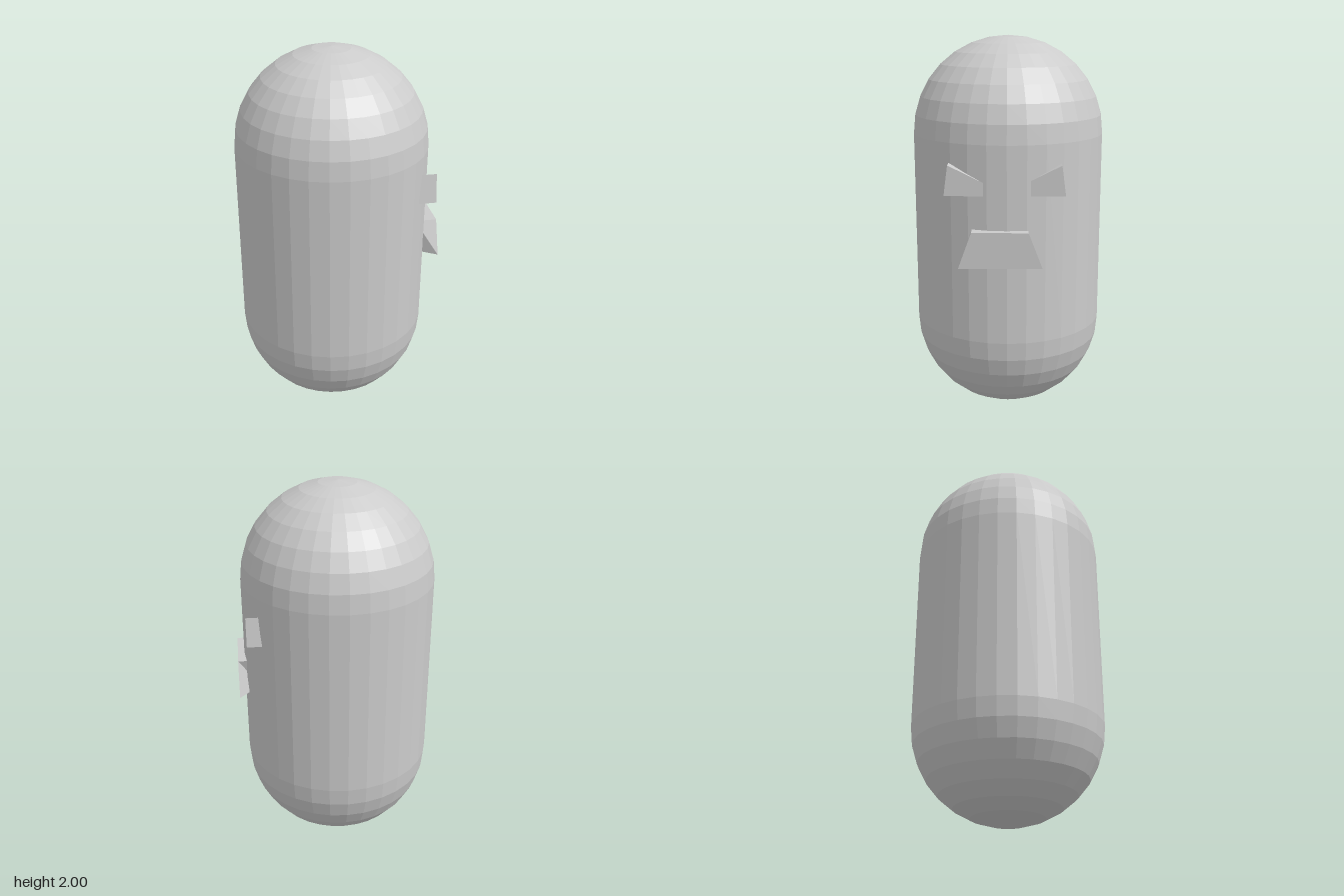
import * as THREE from 'three';

const material = new THREE.MeshStandardMaterial({ color: 0xcccccc, flatShading: true });

// Four-sided block along x. Corners are [z, y]: counterclockwise seen from +x.
function block(name, backX, frontX, front, back = front) {
  const f = front.map(([z, y]) => [frontX, y, z]);
  const b = back.map(([z, y]) => [backX, y, z]);
  const tris = [f[0], f[1], f[2], f[0], f[2], f[3], b[0], b[2], b[1], b[0], b[3], b[2]];
  for (let i = 0; i < 4; i++) {
    const j = (i + 1) % 4;
    tris.push(f[i], b[i], f[j], f[j], b[i], b[j]);
  }
  const geometry = new THREE.BufferGeometry();
  geometry.setAttribute('position', new THREE.Float32BufferAttribute(tris.flat(), 3));
  geometry.computeVertexNormals();
  const mesh = new THREE.Mesh(geometry, material);
  mesh.name = name;
  return mesh;
}

export function createModel() {
  const group = new THREE.Group();
  group.name = 'capsuleFigure';

  // Faceted capsule body
  const body = new THREE.Mesh(new THREE.CapsuleGeometry(0.498, 1.004, 8, 32), material);
  body.name = 'body';
  body.position.set(-0.018, 1, 0);
  group.add(body);

  // Slanted eyes, mirrored about z = 0.01; inner ends sink into the body
  const eye = [[0.275, 1.405], [0.295, 1.255], [0.08, 1.255], [0.08, 1.308]];
  const mirrored = eye.map(([z, y]) => [-z, y]).reverse();
  for (const [name, corners] of [['frontEye', eye], ['backEye', mirrored]]) {
    const mesh = block(name, 0.33, 0.465, corners);
    mesh.position.z = 0.01;
    group.add(mesh);
  }

  // Trapezoid mouth, its lower corners drawn in towards the body
  group.add(block('mouth', 0.4, 0.515,
    [[0.172, 1.085], [0.237, 0.905], [-0.175, 0.905], [-0.106, 1.085]],
    [[0.172, 1.085], [0.165, 0.905], [-0.05, 0.905], [-0.106, 1.085]]));

  return group;
}
